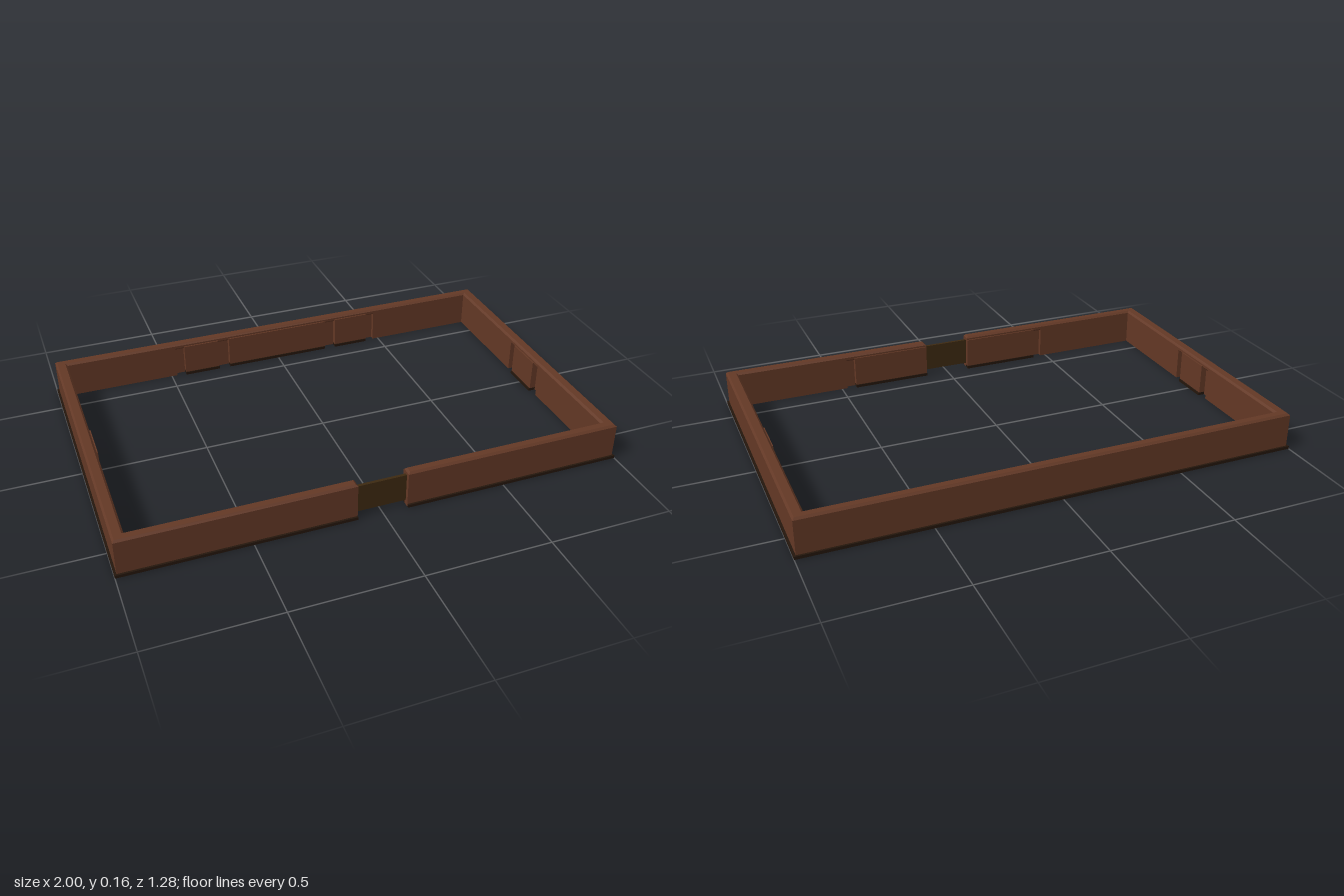
import * as THREE from 'three';

const wallBrown = new THREE.MeshStandardMaterial({ color: 0x633825 });
wallBrown.name = 'wall brown';
const trimDark = new THREE.MeshStandardMaterial({ color: 0x24160c });
trimDark.name = 'dark trim';
const gateDark = new THREE.MeshStandardMaterial({ color: 0x3d2911 });
gateDark.name = 'gate brown';

const GAP = 0.1;                    // half width of the front gateway
const INNER_X = 0.945, INNER_Z = 0.59; // inner faces of the walls
const CORE_X = 0.965, CORE_Z = 0.608;  // back of the recessed slots

// Rectangular wall footprint, open at the gateway, raised from y to y + height
function ring(name, ox, oz, ix, iz, y, height, material, bevel = 0) {
  const shape = new THREE.Shape([
    [GAP, -oz], [ox, -oz], [ox, oz], [-ox, oz], [-ox, -oz], [-GAP, -oz],
    [-GAP, -iz], [-ix, -iz], [-ix, iz], [ix, iz], [ix, -iz], [GAP, -iz],
  ].map(([x, z]) => new THREE.Vector2(x, z)));
  const geometry = new THREE.ExtrudeGeometry(shape, {
    depth: height - 2 * bevel,
    bevelEnabled: bevel > 0,
    bevelSize: bevel, bevelThickness: bevel, bevelOffset: -bevel, bevelSegments: 1,
  });
  geometry.rotateX(-Math.PI / 2);
  const mesh = new THREE.Mesh(geometry, material);
  mesh.name = name;
  mesh.position.y = y + bevel;
  return mesh;
}

// Box given by its minimum and maximum corners
function block(name, x0, x1, y0, y1, z0, z1, material) {
  const mesh = new THREE.Mesh(new THREE.BoxGeometry(x1 - x0, y1 - y0, z1 - z0), material);
  mesh.name = name;
  mesh.position.set((x0 + x1) / 2, (y0 + y1) / 2, (z0 + z1) / 2);
  return mesh;
}

export function createModel() {
  const model = new THREE.Group();
  model.name = 'walledEnclosure';

  // Main wall, bevelled coping and outer skirting
  model.add(
    ring('wallCore', 0.992, 0.632, CORE_X, CORE_Z, 0, 0.136, wallBrown),
    ring('coping', 0.992, 0.632, INNER_X, INNER_Z, 0.128, 0.027, wallBrown, 0.008),
    ring('outerSkirting', 1, 0.64, 0.992, 0.632, 0, 0.012, trimDark),
  );

  // Inner facing along the front (side 1) or back (side -1) wall
  const facingX = (a, b, side, raised) => {
    const face = INNER_Z - (raised ? 0.006 : 0);
    const add = (name, f, y0, y1, m) => model.add(block(name, a, b, y0, y1,
      side > 0 ? f : -CORE_Z, side > 0 ? CORE_Z : -f, m));
    add(raised ? 'raisedPanel' : 'innerFacing', face, raised ? 0.012 : 0, raised ? 0.14 : 0.136, wallBrown);
    if (raised) add('panelSkirting', face - 0.004, 0, 0.012, trimDark);
  };
  // Inner facing along the left (side 1) or right (side -1) wall
  const facingZ = (a, b, side, raised) => {
    const face = INNER_X - (raised ? 0.006 : 0);
    const add = (name, f, y0, y1, m) => model.add(block(name,
      side > 0 ? f : -CORE_X, side > 0 ? CORE_X : -f, y0, y1, a, b, m));
    add(raised ? 'raisedPanel' : 'innerFacing', face, raised ? 0.012 : 0, raised ? 0.14 : 0.136, wallBrown);
    if (raised) add('panelSkirting', face - 0.004, 0, 0.012, trimDark);
  };

  // Facings are separated by narrow recessed slots
  facingX(-0.23, 0.23, -1, true);
  for (const s of [1, -1]) {
    const mirrored = (a, b, side, raised) =>
      facingX(Math.min(s * a, s * b), Math.max(s * a, s * b), side, raised);
    mirrored(0.28, 0.435, -1, true);
    mirrored(0.475, CORE_X, -1, false);
    mirrored(GAP, 0.435, 1, true);
    mirrored(0.475, CORE_X, 1, false);

    facingZ(-0.08, 0.08, s, true);
    facingZ(0.12, CORE_Z, s, false);
    facingZ(-CORE_Z, -0.12, s, false);
  }

  // Thin gate closing the front opening
  model.add(block('gate', -GAP, GAP, 0.02, 0.135, 0.604, 0.616, gateDark));
  return model;
}
